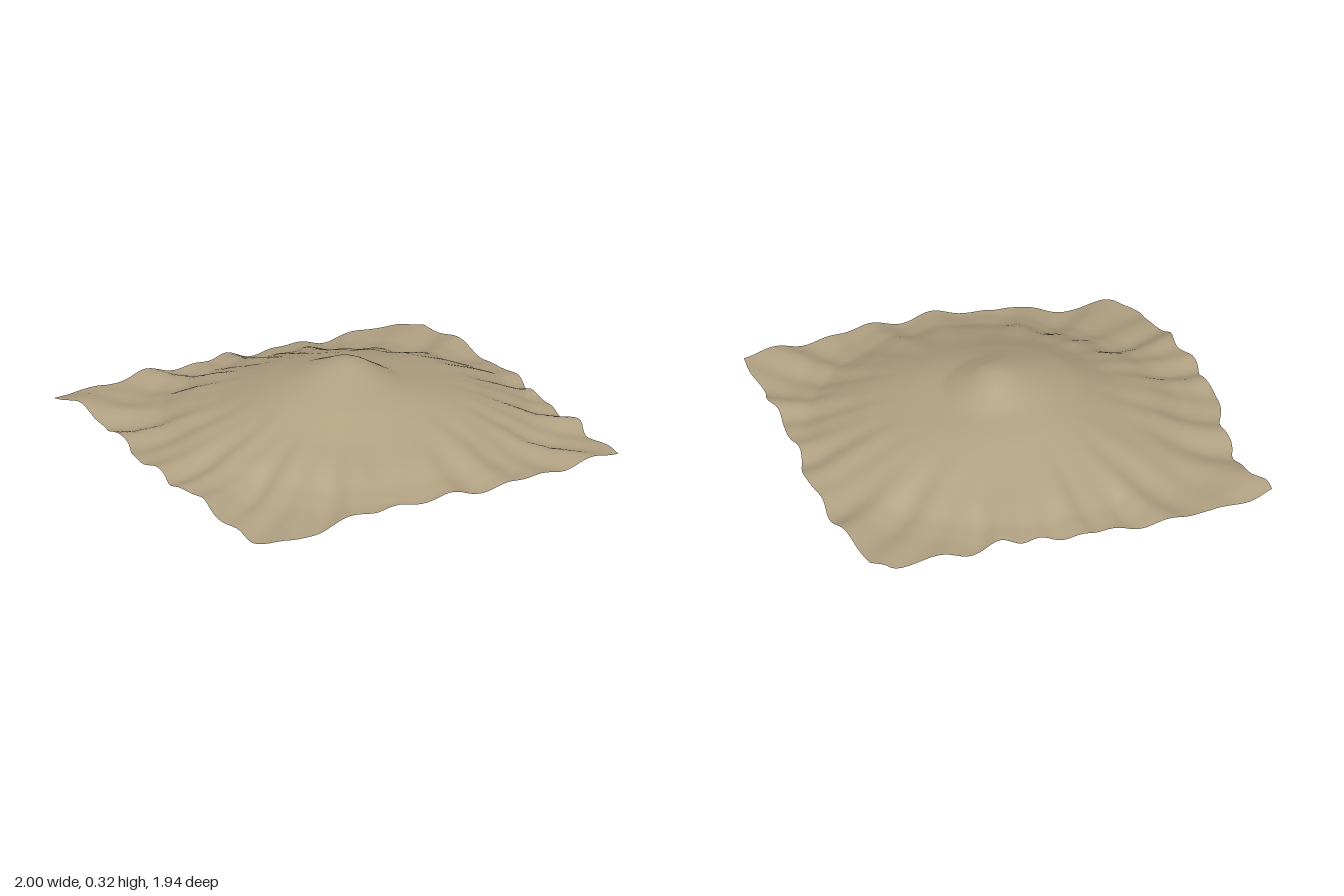
import * as THREE from 'three';

const N = 80;

// Wavy edges of the cloth, as [x, z] points
const edge = (pts) => new THREE.CatmullRomCurve3(pts.map(([x, z]) => new THREE.Vector3(x, 0, z)));
const back = edge([[-1, -.18], [-.93, -.27], [-.8, -.36], [-.68, -.47], [-.5, -.56], [-.4, -.64], [-.3, -.66],
  [-.23, -.72], [-.15, -.74], [-.05, -.83], [.05, -.88], [.17, -.97], [.21, -.96], [.26, -.96]]);
const front = edge([[-.15, .97], [-.11, .96], [-.03, .89], [.05, .82], [.18, .78], [.23, .74], [.4, .67],
  [.5, .6], [.6, .55], [.7, .46], [.8, .38], [.93, .28], [1, .22]]);
const leftSide = edge([[.26, -.96], [.35, -.85], [.47, -.7], [.52, -.6], [.62, -.47], [.66, -.34], [.74, -.22],
  [.8, -.09], [.85, -.05], [.88, .04], [.96, .14], [1, .22]]);
const rightSide = edge([[-1, -.18], [-.97, -.14], [-.91, -.12], [-.85, -.03], [-.81, .02], [-.79, .09], [-.72, .2],
  [-.7, .3], [-.65, .4], [-.58, .49], [-.54, .59], [-.45, .67], [-.4, .77], [-.3, .87], [-.24, .95], [-.15, .97]]);

// Height of the mound by distance from its peak: a full and a hollow slope
const radii = [0, .06, .18, .3, .45, .57, .66, .75, 2];
const full = [.335, .325, .288, .247, .178, .138, .1, .083, .08];
const hollow = [.335, .32, .25, .223, .185, .14, .1, .085, .08];
function profile(heights, r) {
  let i = 0;
  while (i < radii.length - 2 && r > radii[i + 1]) i++;
  return THREE.MathUtils.lerp(heights[i], heights[i + 1], (r - radii[i]) / (radii[i + 1] - radii[i]));
}

function height(x, z) {
  const dx = x - .04, dz = z + .02;
  const r = Math.hypot(dx, dz), a = Math.atan2(dz, dx);
  const side = .5 + .5 * Math.cos(a - Math.PI * .75);
  let y = THREE.MathUtils.lerp(profile(hollow, r), profile(full, r), side);
  // folds fan out and deepen toward the hem
  const fan = THREE.MathUtils.smoothstep(r, .3, .85);
  y += fan * (.009 * Math.sin(17 * a + 3 * r) + .007 * Math.sin(29 * a + 1.5 * Math.sin(3 * a) - 4 * r));
  // broad soft creases
  y += .004 * Math.sin(9 * x + 6 * z + 1) * Math.sin(8 * z - 5 * x);
  // front corner hangs lower, right corner curls up
  y -= .07 * Math.max(0, 1 - Math.hypot(x + .18, z - .97) / .5);
  y += .025 * Math.max(0, 1 - Math.hypot(x + .88, z + .22) / .14);
  return y;
}

function clothGeometry() {
  const rows = [back, front, rightSide, leftSide].map((c) => c.getSpacedPoints(N));
  const [b, f, l, r] = rows;
  const pos = [], index = [];
  // blend the four edges into one sheet
  for (let j = 0; j <= N; j++) {
    for (let i = 0; i <= N; i++) {
      const u = i / N, v = j / N;
      const at = (k) => (1 - v) * b[i][k] + v * f[i][k] + (1 - u) * l[j][k] + u * r[j][k]
        - (1 - u) * (1 - v) * b[0][k] - u * (1 - v) * b[N][k] - (1 - u) * v * f[0][k] - u * v * f[N][k];
      const x = at('x'), z = at('z');
      pos.push(x, height(x, z), z);
      if (i < N && j < N) {
        const p = j * (N + 1) + i, q = p + N + 1;
        index.push(p, q, p + 1, p + 1, q, q + 1);
      }
    }
  }
  const g = new THREE.BufferGeometry();
  g.setAttribute('position', new THREE.Float32BufferAttribute(pos, 3));
  g.setIndex(index);
  g.computeBoundingBox();
  g.translate(0, -g.boundingBox.min.y, 0);
  g.computeVertexNormals();
  return g;
}

export function createModel() {
  const group = new THREE.Group();
  group.name = 'drapedCloth';
  const canvas = new THREE.MeshStandardMaterial({ color: 0xb0a082, side: THREE.DoubleSide });
  canvas.name = 'tan canvas';
  const sheet = new THREE.Mesh(clothGeometry(), canvas);
  sheet.name = 'clothSheet';
  group.add(sheet);
  return group;
}
